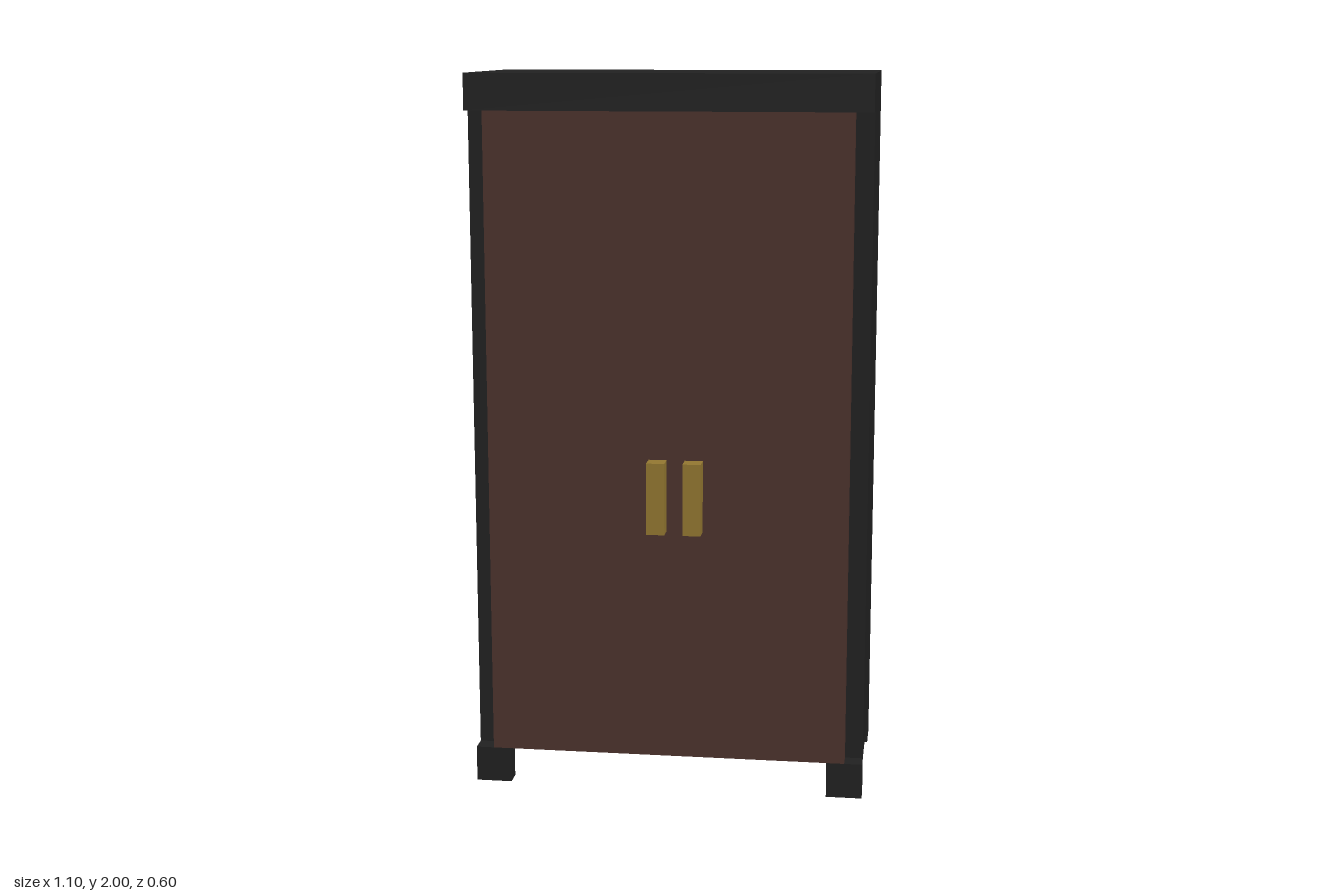
import * as THREE from 'three';

const black = new THREE.MeshStandardMaterial({ color: 0x222222 });
black.name = 'black wood';
const brown = new THREE.MeshStandardMaterial({ color: 0x4e342e });
brown.name = 'brown wood';
const brass = new THREE.MeshStandardMaterial({ color: 0x967a32 });
brass.name = 'brass';

// Box given by its lower and upper corners
function box(name, material, [x0, y0, z0], [x1, y1, z1]) {
  const mesh = new THREE.Mesh(new THREE.BoxGeometry(x1 - x0, y1 - y0, z1 - z0), material);
  mesh.position.set((x0 + x1) / 2, (y0 + y1) / 2, (z0 + z1) / 2);
  mesh.name = name;
  return mesh;
}

export function createModel() {
  const wardrobe = new THREE.Group();
  wardrobe.name = 'wardrobe';

  // Carcass, overhanging top and door panel
  wardrobe.add(
    box('body', black, [-0.55, 0.1, -0.3], [0.55, 1.9, 0.2]),
    box('top', black, [-0.55, 1.9, -0.3], [0.55, 2, 0.25]),
    box('door', brown, [-0.5, 0.1, 0.2], [0.5, 1.9, 0.25]),
  );

  // Feet: the front pair is shallower and sits under the door
  for (const [side, x] of [['right', -0.55], ['left', 0.45]]) {
    wardrobe.add(
      box(`${side}FrontFoot`, black, [x, 0, 0.2], [x + 0.1, 0.1, 0.25]),
      box(`${side}BackFoot`, black, [x, 0, -0.3], [x + 0.1, 0.1, -0.2]),
    );
  }

  // Handles, slightly off centre
  for (const [side, x] of [['right', -0.05], ['left', 0.05]]) {
    wardrobe.add(box(`${side}Handle`, brass, [x, 0.755, 0.25], [x + 0.05, 0.955, 0.3]));
  }

  return wardrobe;
}
